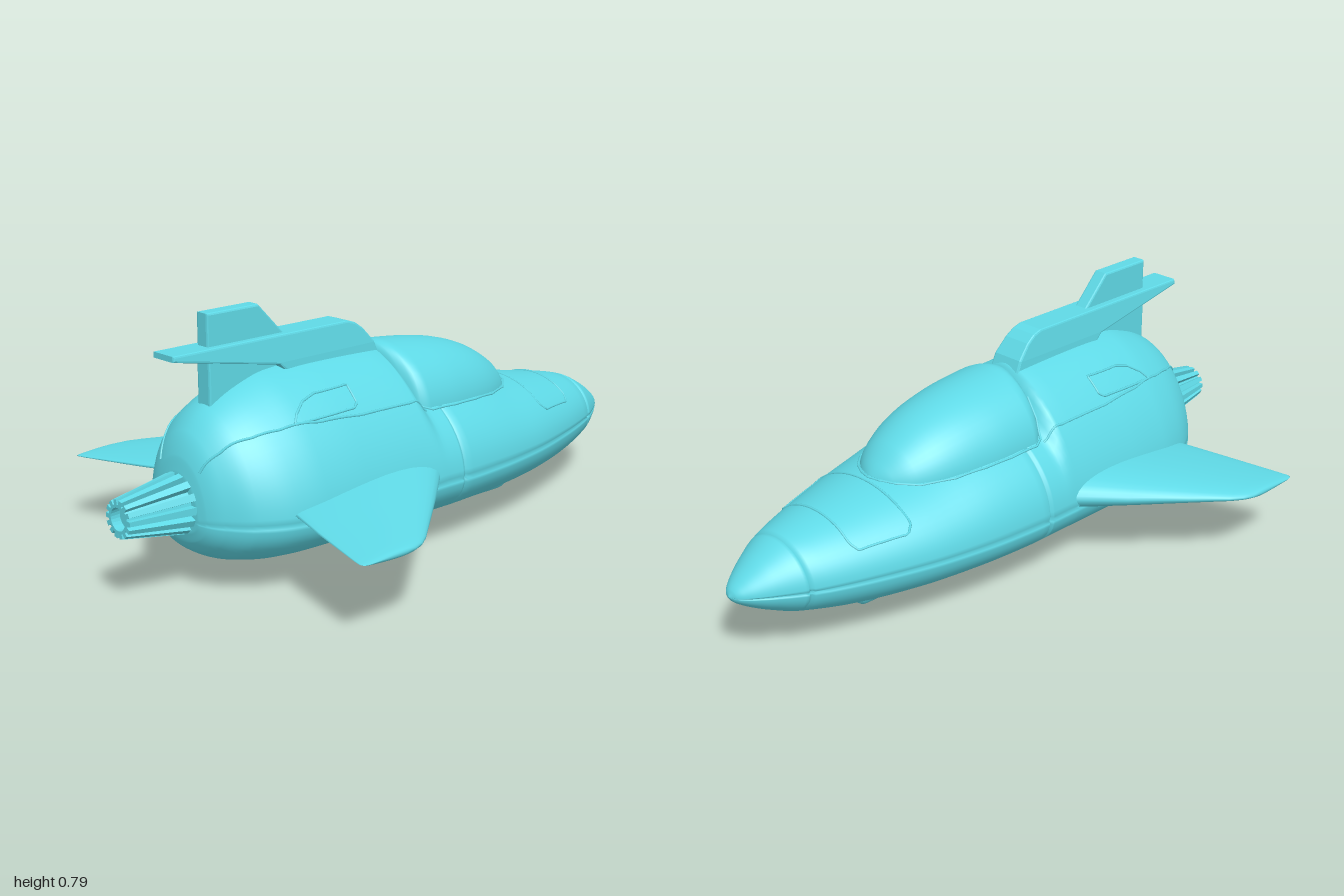
import * as THREE from 'three';

const material = new THREE.MeshStandardMaterial({ color: 0x5fd9e6 });
const WAIST = 0.22;

// Hull stations: z, half width, bottom y, top y, roundness of the upper half
const HULL = [
  [-1, 0.002, 0.218, 0.222, 2], [-0.99, 0.027, 0.203, 0.24, 2], [-0.97, 0.049, 0.188, 0.258, 2],
  [-0.94, 0.073, 0.17, 0.28, 2], [-0.9, 0.1, 0.15, 0.306, 2], [-0.82, 0.146, 0.118, 0.345, 2],
  [-0.6, 0.228, 0.077, 0.39, 2], [-0.4, 0.282, 0.065, 0.425, 2], [-0.2, 0.312, 0.061, 0.47, 2],
  [-0.04, 0.321, 0.06, 0.488, 2], [0.03, 0.32, 0.06, 0.492, 2], [0.085, 0.32, 0.06, 0.604, 1.68],
  [0.35, 0.319, 0.06, 0.61, 1.68], [0.5, 0.312, 0.06, 0.602, 1.68], [0.6, 0.292, 0.063, 0.575, 1.7],
  [0.7, 0.24, 0.08, 0.525, 1.8], [0.76, 0.175, 0.11, 0.465, 1.9], [0.79, 0.125, 0.145, 0.4, 2],
  [0.8, 0.09, 0.18, 0.345, 2],
];

// Canopy stations: z, half width, base y, top y
const CANOPY = [
  [-0.483, 0.004, 0.385, 0.395], [-0.475, 0.035, 0.385, 0.415], [-0.45, 0.08, 0.385, 0.447],
  [-0.4, 0.127, 0.385, 0.492], [-0.3, 0.172, 0.39, 0.546], [-0.2, 0.195, 0.395, 0.576],
  [-0.1, 0.207, 0.4, 0.593], [0, 0.21, 0.4, 0.604], [0.03, 0.197, 0.4, 0.607],
  [0.05, 0.16, 0.4, 0.603], [0.062, 0.11, 0.4, 0.59], [0.068, 0.03, 0.4, 0.56],
];

// Smooth interpolation of a station table without overshoot
function station(table, z) {
  let i = 0;
  while (i < table.length - 2 && z > table[i + 1][0]) i++;
  const slope = (k, c) => (table[k + 1][c] - table[k][c]) / (table[k + 1][0] - table[k][0]);
  const tangent = (k, c) => {
    if (k === 0) return slope(0, c);
    if (k === table.length - 1) return slope(k - 1, c);
    const a = slope(k - 1, c), b = slope(k, c);
    return a * b <= 0 ? 0 : (2 * a * b) / (a + b);
  };
  const h = table[i + 1][0] - table[i][0];
  const t = THREE.MathUtils.clamp((z - table[i][0]) / h, 0, 1), t2 = t * t, t3 = t2 * t;
  return table[i].map((v, c) => c === 0 ? z : v * (2 * t3 - 3 * t2 + 1) + table[i + 1][c] * (3 * t2 - 2 * t3)
    + h * (tangent(i, c) * (t3 - 2 * t2 + t) + tangent(i + 1, c) * (t3 - t2)));
}

// Skin over equal-sized rings, with both ends closed
function loft(rings) {
  const n = rings[0].length, pos = [], idx = [];
  rings.forEach((r) => r.forEach((p) => pos.push(p.x, p.y, p.z)));
  for (let i = 0; i < rings.length - 1; i++) {
    for (let j = 0; j < n; j++) {
      const a = i * n + j, b = i * n + (j + 1) % n;
      idx.push(a, b, b + n, a, b + n, a + n);
    }
  }
  [0, rings.length - 1].forEach((r, end) => {
    const centre = rings[r].reduce((s, p) => s.add(p), new THREE.Vector3()).divideScalar(n);
    const c = pos.length / 3;
    pos.push(centre.x, centre.y, centre.z);
    for (let j = 0; j < n; j++) {
      const a = r * n + j, b = r * n + (j + 1) % n;
      if (end) idx.push(a, b, c); else idx.push(b, a, c);
    }
  });
  const g = new THREE.BufferGeometry();
  g.setAttribute('position', new THREE.Float32BufferAttribute(pos, 3));
  g.setIndex(idx);
  g.computeVertexNormals();
  return g;
}

const steps = (table, n) => table.slice(1).flatMap((row, i) =>
  Array.from({ length: n }, (_, k) => THREE.MathUtils.lerp(table[i][0], row[0], (k + 1) / n)));
const power = (v, e) => Math.sign(v) * Math.abs(v) ** e;

function hullGeometry() {
  // Panel grooves run round the hull at two stations and along the waist
  const grooves = [-0.82, -0.04];
  const zs = [-1, ...steps(HULL, 5)].filter((z) => grooves.every((g) => Math.abs(z - g) > 0.009));
  grooves.forEach((g) => zs.push(g - 0.008, g - 0.003, g + 0.003, g + 0.008));
  zs.sort((a, b) => a - b);
  const angles = [];
  for (let k = 0; k < 64; k++) {
    const a = (k / 64) * Math.PI * 2;
    if (k % 32 === 0) angles.push(a - 0.04, a, a + 0.04); else angles.push(a);
  }
  return loft(zs.map((z) => {
    const [, w, bottom, top, n] = station(HULL, z);
    const dent = grooves.some((g) => Math.abs(z - g) < 0.005) ? 0.008 : 0;
    return angles.map((a) => {
      const s = Math.sin(a), e = s > 0 ? 2 / n : 1;
      const seam = Math.abs(s) < 1e-6 ? Math.min(0.006, w * 0.1) : 0;
      const h = (s > 0 ? top - WAIST : WAIST - bottom) - dent;
      return new THREE.Vector3((w - dent - seam) * power(Math.cos(a), e), WAIST + h * power(s, e), z);
    });
  }));
}

function canopyGeometry() {
  return loft([CANOPY[0][0], ...steps(CANOPY, 4)].map((z) => {
    const [, w, base, top] = station(CANOPY, z);
    return Array.from({ length: 48 }, (_, k) => {
      const a = (k / 48) * Math.PI * 2, s = Math.sin(a);
      return new THREE.Vector3(w * Math.cos(a), base + s * (s > 0 ? top - base : 0.06), z);
    });
  }));
}

// One airfoil skin running from wing tip to wing tip through the hull
function wingGeometry() {
  const half = [[0.22, -0.03, 0.59, 0.068, 0.25], [0.3, 0.05, 0.612, 0.058, 0.247], [0.42, 0.19, 0.645, 0.042, 0.24],
    [0.54, 0.335, 0.675, 0.027, 0.234], [0.62, 0.432, 0.695, 0.017, 0.23], [0.645, 0.47, 0.7, 0.013, 0.229],
    [0.657, 0.505, 0.695, 0.01, 0.228], [0.661, 0.54, 0.68, 0.005, 0.228]];
  const all = [...half.map(([x, ...r]) => [-x, ...r]).reverse(), ...half];
  return loft(all.map(([x, front, back, thick, y]) => Array.from({ length: 32 }, (_, k) => {
    const a = (k / 32) * Math.PI * 2, s = (1 + Math.sin(a)) / 2;
    return new THREE.Vector3(x, y + Math.cos(a) * thick * 1.25 * (1 - 0.65 * s), front + s * (back - front));
  })));
}

// Plate cut from a side outline of [z, y] points, tapering from y0 to y1
function plate(outline, halfWidth, y0 = 0, y1 = 1, taper = 1) {
  const b = 0.006;
  const g = new THREE.ExtrudeGeometry(new THREE.Shape(outline.map(([z, y]) => new THREE.Vector2(z, y))), {
    depth: 2 * (halfWidth - b), bevelSize: b, bevelOffset: -b, bevelThickness: b, bevelSegments: 2,
  });
  g.translate(0, 0, b - halfWidth).rotateY(-Math.PI / 2);
  const p = g.attributes.position;
  for (let i = 0; i < p.count; i++) {
    p.setX(i, p.getX(i) * THREE.MathUtils.lerp(1, taper, THREE.MathUtils.clamp((p.getY(i) - y0) / (y1 - y0), 0, 1)));
  }
  g.computeVertexNormals();
  return g;
}

// Fluted exhaust, narrowing to the rear
function nozzleGeometry() {
  const ribs = 14, shape = new THREE.Shape();
  for (let i = 0; i < ribs; i++) {
    [[-0.32, 0.097], [0.22, 0.097], [0.3, 0.073], [0.6, 0.073]].forEach(([o, r], k) => {
      const a = ((i + o) / ribs) * Math.PI * 2;
      shape[i + k ? 'lineTo' : 'moveTo'](r * Math.cos(a), r * Math.sin(a));
    });
  }
  shape.holes.push(new THREE.Path().absarc(0, 0, 0.058, 0, Math.PI * 2, true));
  const g = new THREE.ExtrudeGeometry(shape, { depth: 0.24, bevelEnabled: false });
  const p = g.attributes.position;
  for (let i = 0; i < p.count; i++) {
    const k = 1 - (p.getZ(i) / 0.24) * 0.42;
    p.setXY(i, p.getX(i) * k, p.getY(i) * k);
  }
  g.computeVertexNormals();
  return g.translate(0, 0.26, 0.76);
}

// Points on the hull, found from above (x, z) or from the side (z, y)
function fromAbove([x, z]) {
  const [, w, , top, n] = station(HULL, z);
  const r = Math.min(1, Math.abs(x) / w);
  return new THREE.Vector3(x, WAIST + (top - WAIST) * (1 - r ** n) ** (1 / n), z);
}
function fromSide([z, y]) {
  const [, w, , top, n] = station(HULL, z);
  return new THREE.Vector3(w * (1 - Math.min(1, (y - WAIST) / (top - WAIST)) ** n) ** (1 / n), y, z);
}

// Thin panel seam laid on the hull
function seam(points, drape, side, closed) {
  const path = [];
  points.forEach((p, i) => {
    const q = points[(i + 1) % points.length];
    if (i === points.length - 1 && !closed) path.push(p);
    else for (let k = 0; k < 6; k++) path.push([0, 1].map((c) => p[c] + (q[c] - p[c]) * k / 6));
  });
  const curve = new THREE.CatmullRomCurve3(path.map((p) => drape(p).multiply(new THREE.Vector3(side, 1, 1))), closed);
  return new THREE.TubeGeometry(curve, path.length * 2, 0.004, 6, closed);
}

export function createModel() {
  const model = new THREE.Group();
  const add = (name, geometry) => {
    const mesh = new THREE.Mesh(geometry, material);
    mesh.name = name;
    model.add(mesh);
    return mesh;
  };
  add('hull', hullGeometry());
  add('canopy', canopyGeometry());
  add('wings', wingGeometry());
  add('exhaustNozzle', nozzleGeometry());
  add('nozzleCore', new THREE.CylinderGeometry(0.033, 0.05, 0.19, 24).rotateX(Math.PI / 2).translate(0, 0.26, 0.875));

  // Dorsal spine, strut and tail fin
  add('dorsalSpine', plate([[0.07, 0.57], [0.09, 0.62], [0.13, 0.665], [0.16, 0.686], [0.19, 0.695], [0.83, 0.695],
    [0.83, 0.678], [0.46, 0.61], [0.42, 0.57]], 0.058, 0.6, 0.69, 0.8));
  add('finStrut', plate([[0.35, 0.55], [0.35, 0.66], [0.695, 0.67], [0.695, 0.48], [0.6, 0.48]], 0.028));
  add('tailFin', plate([[0.4, 0.67], [0.42, 0.695], [0.51, 0.79], [0.695, 0.79], [0.695, 0.67]], 0.024));

  // Belly pod
  add('bellyPod', new THREE.CapsuleGeometry(0.04, 0.17, 10, 24).rotateX(Math.PI / 2).scale(1, 1.5, 1).translate(0, 0.06, -0.435));

  // Panel seams
  add('nosePanelSeam', seam([[-0.17, -0.67], [-0.15, -0.683], [0.15, -0.683], [0.17, -0.67],
    [0.213, -0.52], [0.2, -0.5], [-0.2, -0.5], [-0.213, -0.52]], fromAbove, 1, true));
  const rim = CANOPY.slice(1, -1).map(([z, w]) => [w + 0.005, z]);
  for (const side of [1, -1]) {
    add('canopySeam', seam([[0, -0.485], ...rim], fromAbove, side, false));
    add('hoodSeam', seam([[0.215, 0.03], [0.222, 0.1], [0.222, 0.3], [0.212, 0.45], [0.19, 0.58], [0.165, 0.66],
      [0.125, 0.74], [0.09, 0.785]], fromAbove, side, false));
    add('sideWindow', seam([[0.53, 0.477], [0.31, 0.485], [0.295, 0.495], [0.292, 0.54], [0.42, 0.537], [0.47, 0.525],
      [0.51, 0.5]], fromSide, side, true));
  }
  return model;
}
